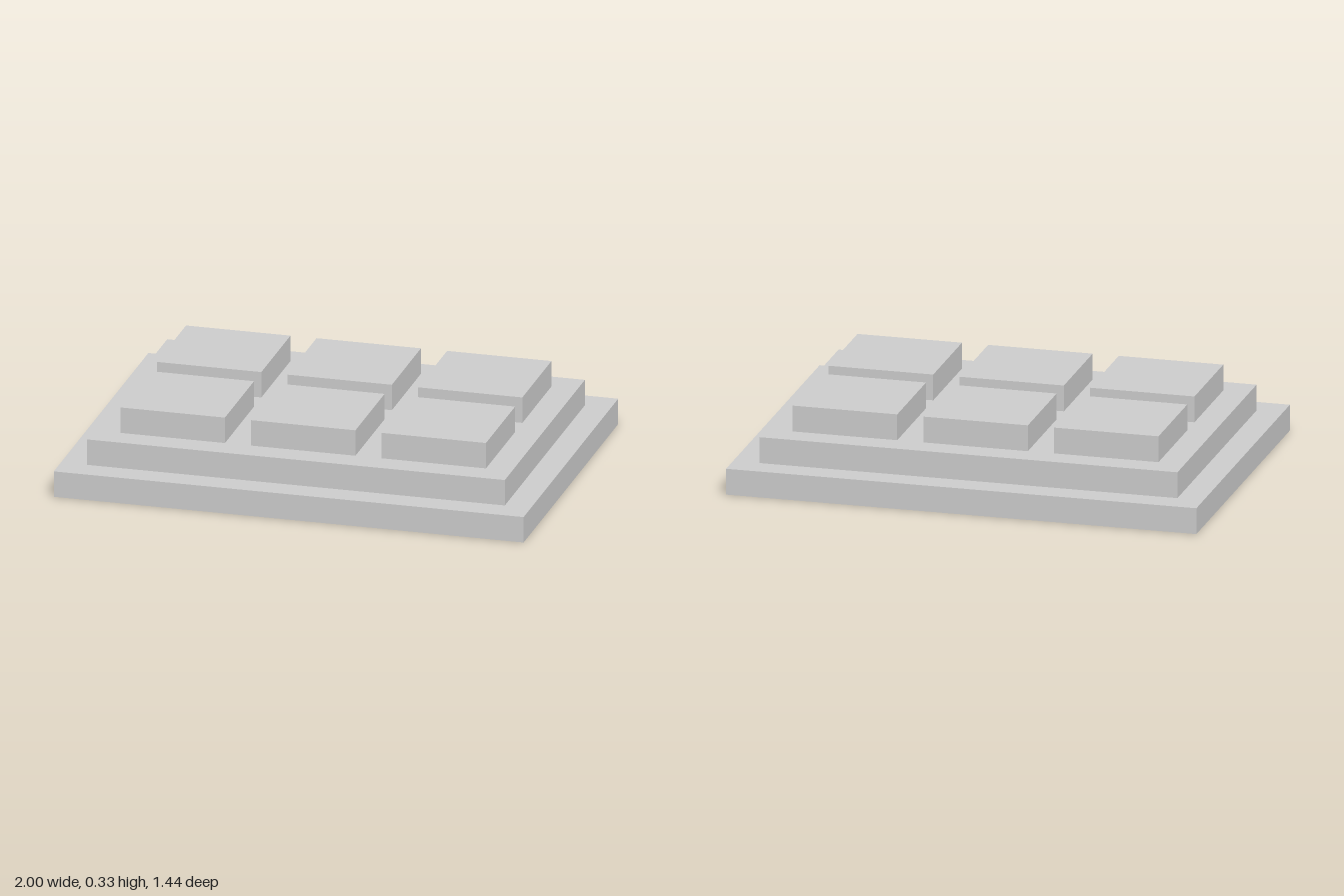
import * as THREE from 'three';

// Everything sits on a grid of equal units; the base is 18 units long
const U = 2 / 18;

export function createModel() {
  const model = new THREE.Group();
  model.name = 'steppedPlatform';
  const material = new THREE.MeshStandardMaterial({ color: 0xcccccc, flatShading: true });

  // A slab one unit thick, placed by its centre and its level in the stack
  function addSlab(name, width, depth, level, x = 0, z = 0) {
    const mesh = new THREE.Mesh(new THREE.BoxGeometry(width * U, U, depth * U), material);
    mesh.position.set(x * U, (level + 0.5) * U, z * U);
    mesh.name = name;
    model.add(mesh);
  }

  // Two stepped tiers
  addSlab('baseTier', 18, 13, 0);
  addSlab('upperTier', 16, 11, 1);

  // Two rows of three square blocks on top
  for (const z of [-2.5, 2.5]) {
    for (const x of [-5, 0, 5]) addSlab('topBlock', 4, 4, 2, x, z);
  }

  return model;
}
